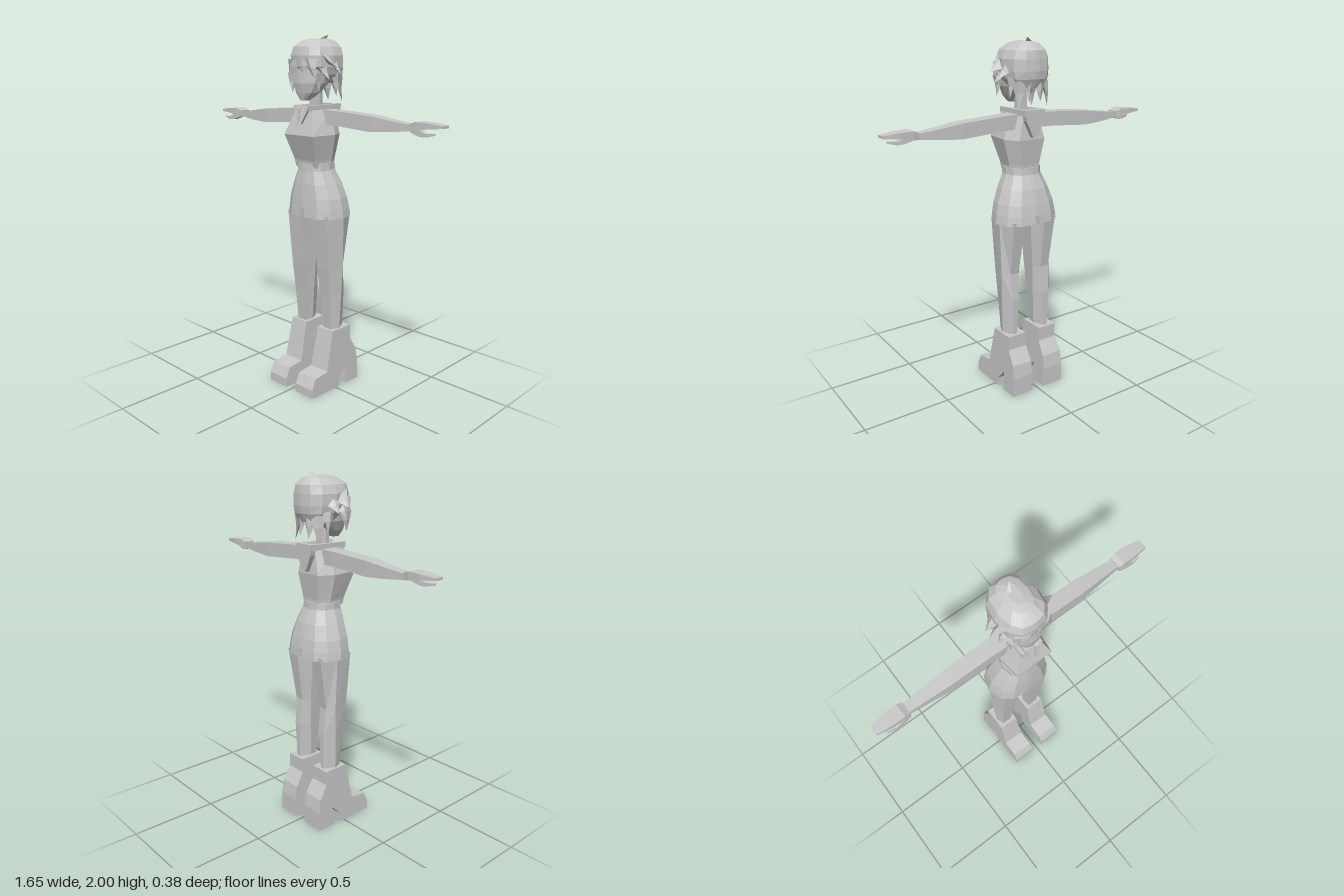
import * as THREE from 'three';

const grey = new THREE.MeshStandardMaterial({ color: 0xc8c8c8, flatShading: true, side: THREE.DoubleSide });
grey.name = 'plainGrey';

// Turn a closed triangle soup so that its faces point outwards
function orient(geo) {
  const p = geo.attributes.position;
  const a = new THREE.Vector3(), b = new THREE.Vector3(), c = new THREE.Vector3();
  let volume = 0;
  for (let i = 0; i < p.count; i += 3) {
    a.fromBufferAttribute(p, i); b.fromBufferAttribute(p, i + 1); c.fromBufferAttribute(p, i + 2);
    volume += a.dot(b.cross(c));
  }
  if (volume < 0) {
    for (let i = 0; i < p.count; i += 3) {
      b.fromBufferAttribute(p, i + 1); c.fromBufferAttribute(p, i + 2);
      p.setXYZ(i + 1, c.x, c.y, c.z); p.setXYZ(i + 2, b.x, b.y, b.z);
    }
  }
  geo.computeVertexNormals();
  return geo;
}

// Closed skin through equal-sized rings of [x, y, z] points
function loft(rings) {
  const out = [], n = rings[0].length;
  for (let r = 0; r < rings.length - 1; r++) {
    for (let i = 0; i < n; i++) {
      const j = (i + 1) % n, A = rings[r], B = rings[r + 1];
      out.push(...A[i], ...A[j], ...B[j], ...A[i], ...B[j], ...B[i]);
    }
  }
  const first = rings[0], last = rings[rings.length - 1];
  for (let i = 1; i < n - 1; i++) {
    out.push(...first[0], ...first[i + 1], ...first[i]);
    out.push(...last[0], ...last[i], ...last[i + 1]);
  }
  const geo = new THREE.BufferGeometry();
  geo.setAttribute('position', new THREE.Float32BufferAttribute(out, 3));
  return orient(geo);
}

const mirrorX = (rings, s) => rings.map(r => r.map(([x, y, z]) => [s * x, y, z]));

// Half of a rounded outline: w half width, f front, b back
function halfRing([y, w, f, b]) {
  const c = (f + b) / 2, d = (f - b) / 2;
  return [[0.012, 1], [0.55 * w, 0.93], [0.88 * w, 0.6], [w, 0], [0.88 * w, -0.6], [0.55 * w, -0.93], [0.012, -1]]
    .map(([x, k]) => [x, y, c + k * d]);
}
function fullRing(row) {
  const half = halfRing(row);
  return [...half, ...half.map(([x, y, z]) => [-x, y, z]).reverse()];
}

// Six-sided trunk outline with a flat front panel
const trunkRing = ([y, w, p, f, b]) => {
  const m = f * 0.35 + b * 0.65;
  return [[p, y, f], [w, y, m], [p * 0.75, y, b], [-p * 0.75, y, b], [-w, y, m], [-p, y, f]];
};

// Rectangle across x, for arms and hands
const armRing = ([x, lo, hi, back, front]) => [[x, lo, back], [x, lo, front], [x, hi, front], [x, hi, back]];

// Flat pointed lock of hair: base centre, half width vector, tip
function lock(base, side, tip, thick = 0.02) {
  const B = new THREE.Vector3(...base), S = new THREE.Vector3(...side), T = new THREE.Vector3(...tip);
  const N = T.clone().sub(B).cross(S).normalize().multiplyScalar(thick);
  const ring = [B.clone().add(S), B.clone().add(N), B.clone().sub(S), B.clone().sub(N)];
  const mid = ring.map(v => v.clone().lerp(T, 0.45).addScaledVector(N, 0.25));
  const end = ring.map(v => T.clone().lerp(v, 0.02));
  return loft([ring, mid, end].map(r => r.map(v => v.toArray())));
}

export function createModel() {
  const model = new THREE.Group();
  model.name = 'figure';
  const add = (name, geo) => {
    const mesh = new THREE.Mesh(geo, grey);
    mesh.name = name;
    model.add(mesh);
  };

  // Trunk and belt
  add('torso', loft([
    [1.29, 0.09, 0.075, 0.068, -0.098],
    [1.33, 0.095, 0.08, 0.075, -0.1],
    [1.47, 0.125, 0.108, 0.125, -0.118],
    [1.605, 0.085, 0.06, 0.085, -0.103],
  ].map(trunkRing)));
  add('belt', loft([[1.27, 0.102, 0.08, -0.11], [1.315, 0.1, 0.077, -0.107]].map(fullRing)));

  // Skirt, split at the hem in front and behind
  add('skirt', loft([
    [1.06, 0.18, 0.093, -0.17], [1.12, 0.168, 0.09, -0.16],
    [1.2, 0.137, 0.084, -0.14], [1.28, 0.1, 0.073, -0.108],
  ].map(fullRing)));

  for (const s of [1, -1]) {
    const side = s > 0 ? 'left' : 'right';
    add(side + 'SkirtHem', loft(mirrorX(
      [[1.012, 0.186, 0.095, -0.175], [1.06, 0.18, 0.093, -0.17]].map(halfRing), s)));

    // Leg: inner x, outer x, front z, side ridge z, back z
    const leg = [
      [1.03, 0.035, 0.172, 0.06, -0.055, -0.15],
      [0.72, 0.047, 0.165, 0.036, -0.062, -0.1],
      [0.56, 0.055, 0.16, 0.018, -0.055, -0.115],
      [0.33, 0.066, 0.152, 0, -0.05, -0.11],
    ].map(([y, i, o, f, m, b]) => [
      [i + 0.008, y, f], [o - 0.02, y, f], [o, y, m], [o - 0.035, y, b], [i + 0.03, y, b], [i, y, m],
    ]);
    add(side + 'Leg', loft(mirrorX(leg, s)));

    // Boot: side profile with arch and heel, narrowing upwards
    const profile = [
      [0.195, 0], [0.195, 0.05], [0.168, 0.11], [0.07, 0.122], [0.02, 0.352], [-0.13, 0.352], [-0.13, 0.27],
      [-0.178, 0.19], [-0.19, 0.11], [-0.19, 0], [-0.083, 0], [-0.088, 0.115], [-0.03, 0.05], [-0.03, 0],
    ].map(([z, y]) => new THREE.Vector2(z, y));
    const boot = new THREE.ExtrudeGeometry(new THREE.Shape(profile), { depth: 1, bevelEnabled: false });
    const p = boot.attributes.position;
    for (let i = 0; i < p.count; i++) {
      const z = p.getX(i), y = p.getY(i), half = 0.069 - 0.032 * y;
      p.setXYZ(i, s * (0.106 + (p.getZ(i) * 2 - 1) * half), y, z);
    }
    add(side + 'Boot', orient(boot));

    // Arm, hand and thumb
    add(side + 'Arm', loft(mirrorX([
      [0.06, 1.525, 1.605, -0.075, 0.015], [0.16, 1.525, 1.603, -0.078, 0.01],
      [0.4, 1.508, 1.588, -0.078, 0.006], [0.52, 1.516, 1.572, -0.073, -0.005],
      [0.65, 1.53, 1.557, -0.066, -0.014],
    ].map(armRing), s)));
    add(side + 'Hand', loft(mirrorX([
      [0.64, 1.53, 1.564, -0.072, -0.004], [0.67, 1.532, 1.576, -0.078, 0],
      [0.74, 1.545, 1.574, -0.078, -0.002], [0.825, 1.552, 1.565, -0.064, -0.012],
    ].map(armRing), s)));
    add(side + 'Thumb', loft(mirrorX([
      [0.645, 1.525, 1.55, -0.035, 0], [0.7, 1.508, 1.538, -0.03, 0.003],
      [0.735, 1.506, 1.524, -0.025, 0.003], [0.78, 1.517, 1.526, -0.018, -0.002],
    ].map(armRing), s)));

    // Collar bar over the shoulder and pointed lapel
    add(side + 'Collar', loft(mirrorX([
      [[0.03, 1.6, 0.1], [0.062, 1.6, 0.1], [0.062, 1.628, 0.1], [0.042, 1.628, 0.1]],
      [[0.035, 1.6, -0.14], [0.066, 1.6, -0.14], [0.066, 1.632, -0.14], [0.04, 1.632, -0.14]],
    ], s)));
    add(side + 'Lapel', loft(mirrorX([
      [[0.022, 1.615, 0.085], [0.06, 1.625, 0.085], [0.012, 1.53, 0.105]],
      [[0.022, 1.615, 0.102], [0.06, 1.625, 0.102], [0.012, 1.53, 0.118]],
    ], s)));

    // Locks at the side and back of the head
    const locks = [
      [[0.1, 1.88, 0.02], [0, 0.03, 0.045], [0.18, 1.825, 0.01]],
      [[0.1, 1.86, -0.04], [0, 0.02, 0.045], [0.165, 1.79, -0.04]],
      [[0.1, 1.82, 0.03], [0, 0.01, 0.04], [0.14, 1.765, 0.03]],
      [[0.1, 1.8, 0.06], [0.01, 0, 0.035], [0.1, 1.69, 0.07]],
      [[0.1, 1.8, -0.06], [0, 0, 0.045], [0.115, 1.69, -0.075]],
      [[0.08, 1.78, -0.11], [0.03, 0, 0.03], [0.09, 1.645, -0.125]],
      [[0.03, 1.77, -0.13], [0.035, 0, 0], [0.035, 1.67, -0.14]],
      [[0.065, 1.87, 0.1], [0.045, 0, -0.01], [0.1, 1.77, 0.1]],
    ];
    for (const [base, across, tip] of locks) {
      const flip = v => [s * v[0], v[1], v[2]];
      add(side + 'HairLock', lock(flip(base), flip(across), flip(tip)));
    }
  }

  // Back flap of the collar
  add('collarFlap', loft([-0.115, -0.145].map(z => [
    [-0.066, 1.632, z], [0.066, 1.632, z], [0.055, 1.575, z], [0.012, 1.485, z], [-0.012, 1.485, z], [-0.055, 1.575, z],
  ])));

  // Neck and face
  add('neck', loft([1.59, 1.72].map(y => [
    [-0.026, y, 0.012], [0.026, y, 0.012], [0.03, y, -0.015], [0.02, y, -0.042], [-0.02, y, -0.042], [-0.03, y, -0.015],
  ])));
  add('face', loft([
    [1.655, 0.022, 0.098, 0.05], [1.695, 0.066, 0.108, -0.01], [1.745, 0.09, 0.116, -0.06],
    [1.8, 0.1, 0.112, -0.08], [1.88, 0.1, 0.108, -0.08],
  ].map(fullRing)));

  // Hair: rounded cap, fringe over the brow and tuft on top
  add('hairCap', loft([
    [1.745, 0.088, 0.03, -0.14], [1.79, 0.115, 0.075, -0.16], [1.83, 0.124, 0.118, -0.165],
    [1.89, 0.124, 0.122, -0.163], [1.935, 0.105, 0.112, -0.157], [1.968, 0.066, 0.06, -0.13],
    [1.978, 0.03, 0.02, -0.1],
  ].map(fullRing)));
  add('fringe', lock([-0.02, 1.87, 0.105], [0.06, 0, 0], [-0.06, 1.785, 0.118], 0.015));
  add('fringe', lock([0.02, 1.87, 0.105], [0.06, 0, 0], [0.03, 1.795, 0.118], 0.015));
  add('tuft', lock([-0.03, 1.965, -0.06], [0, 0, 0.05], [0.015, 2.0, -0.09], 0.015));
  add('napeLock', lock([0, 1.77, -0.1], [0.05, 0, 0], [0, 1.65, -0.11]));
  return model;
}
